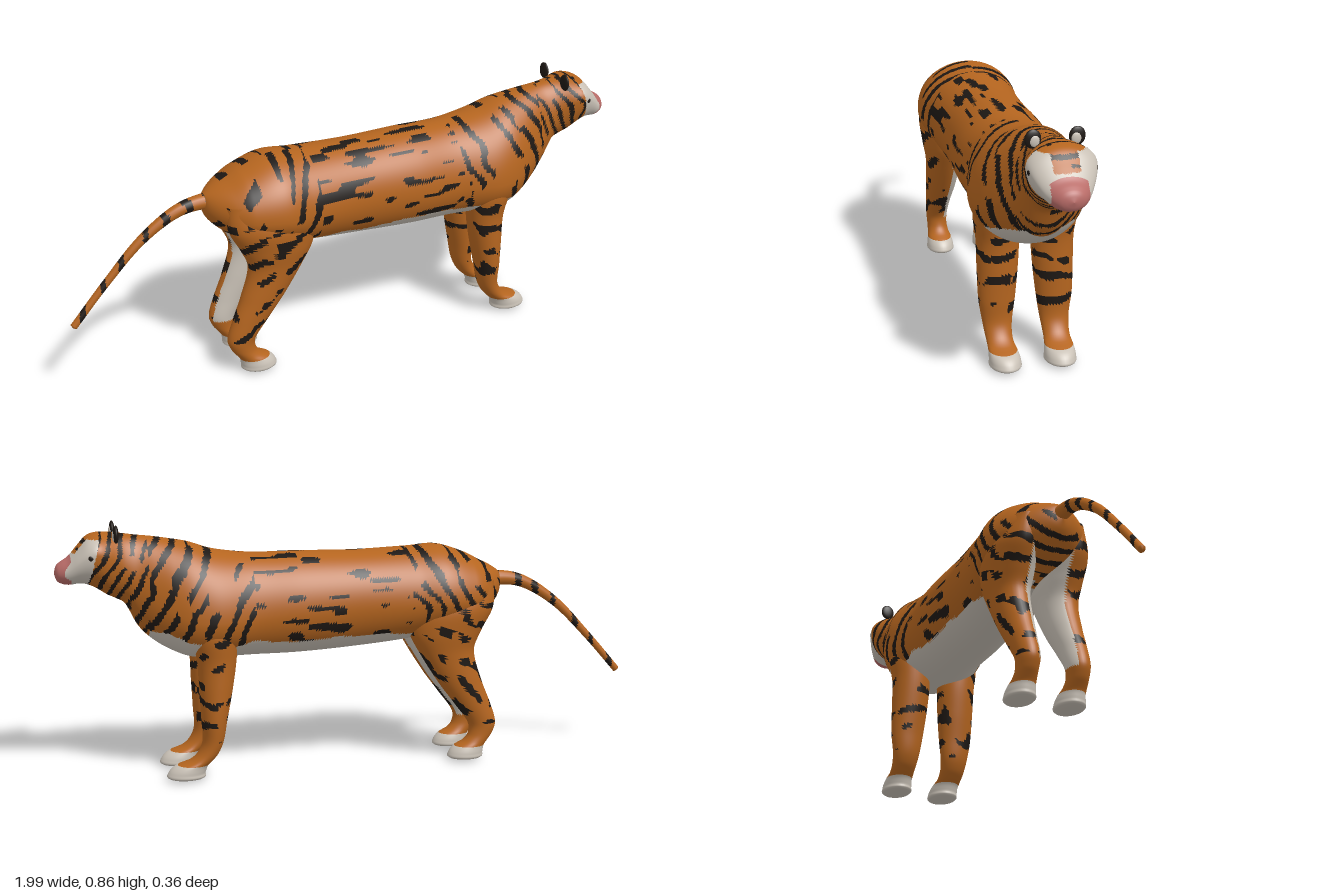
import * as THREE from 'three';

const paint = {};
for (const [name, color] of Object.entries({
  Orange: 0xb5651f, Black: 0x1e1814, White: 0xc9c1b6, Pink: 0xb96c68,
})) paint[name] = new THREE.MeshStandardMaterial({ color });

// Smooth repeatable value noise, 0..1
const hash = (i, j) => {
  const s = Math.sin(i * 127.1 + j * 311.7) * 43758.5453;
  return s - Math.floor(s);
};
function noise(x, y) {
  const i = Math.floor(x), j = Math.floor(y);
  const f = (x - i) ** 2 * (3 - 2 * (x - i)), g = (y - j) ** 2 * (3 - 2 * (y - j));
  const lerp = THREE.MathUtils.lerp;
  return lerp(lerp(hash(i, j), hash(i + 1, j), f), lerp(hash(i, j + 1), hash(i + 1, j + 1), f), g);
}

// Smooth (Hermite) interpolation of section rows; the first column is the key
function section(rows, key) {
  let k = 0;
  while (k < rows.length - 2 && (key - rows[k + 1][0]) * (rows[1][0] - rows[0][0]) > 0) k++;
  const a = rows[k], b = rows[k + 1], p = rows[Math.max(k - 1, 0)], n = rows[Math.min(k + 2, rows.length - 1)];
  const h = b[0] - a[0], t = THREE.MathUtils.clamp((key - a[0]) / h, 0, 1);
  const t2 = t * t, t3 = t2 * t;
  return a.map((v, c) => {
    const m0 = (b[c] - p[c]) / (b[0] - p[0]) * h, m1 = (n[c] - v) / (n[0] - a[0]) * h;
    return (2 * t3 - 3 * t2 + 1) * v + (t3 - 2 * t2 + t) * m0 + (3 * t2 - 2 * t3) * b[c] + (t3 - t2) * m1;
  });
}

// Closed skin of rings; each cell goes to the mesh of its coat colour
function skin(name, rings, sides, pointAt, coat) {
  const pos = [], index = {};
  for (let i = 0; i <= rings; i++) {
    const u = i / rings, e = u - 0.06 * Math.sin(u * Math.PI * 2); // denser ends
    for (let j = 0; j < sides; j++) pos.push(...pointAt(e, j / sides * Math.PI * 2));
  }
  const all = [];
  for (let i = 0; i < rings; i++) for (let j = 0; j < sides; j++) {
    const a = i * sides + j, d = i * sides + (j + 1) % sides, b = a + sides, c = d + sides;
    for (const tri of [[a, b, c], [a, c, d]]) {
      all.push(...tri);
      const mid = [0, 1, 2].map(k => (pos[tri[0] * 3 + k] + pos[tri[1] * 3 + k] + pos[tri[2] * 3 + k]) / 3);
      (index[coat(...mid)] ??= []).push(...tri);
    }
  }
  const base = new THREE.BufferGeometry();
  base.setAttribute('position', new THREE.Float32BufferAttribute(pos, 3));
  base.setIndex(all);
  base.computeVertexNormals();
  const group = new THREE.Group();
  group.name = name;
  for (const color in index) {
    const geo = new THREE.BufferGeometry();
    geo.setAttribute('position', base.attributes.position);
    geo.setAttribute('normal', base.attributes.normal);
    geo.setIndex(index[color]);
    const mesh = new THREE.Mesh(geo, paint[color]);
    mesh.name = name + color;
    group.add(mesh);
  }
  return group;
}

// Torso, neck and head: x, top, bottom, half width, height of widest point
const TORSO = [
  [-0.535, 0.635, 0.60, 0, 0.62], [-0.52, 0.652, 0.565, 0.04, 0.61], [-0.49, 0.672, 0.53, 0.085, 0.60],
  [-0.45, 0.692, 0.50, 0.127, 0.59], [-0.4, 0.718, 0.48, 0.157, 0.58], [-0.3, 0.75, 0.455, 0.178, 0.575],
  [-0.2, 0.746, 0.43, 0.166, 0.57], [0, 0.74, 0.41, 0.155, 0.57], [0.2, 0.744, 0.40, 0.16, 0.56],
  [0.35, 0.745, 0.40, 0.159, 0.55], [0.48, 0.762, 0.40, 0.18, 0.54], [0.56, 0.788, 0.405, 0.17, 0.545],
  [0.62, 0.80, 0.428, 0.145, 0.57], [0.68, 0.81, 0.465, 0.112, 0.61], [0.73, 0.816, 0.515, 0.086, 0.66],
  [0.77, 0.822, 0.59, 0.08, 0.71],
];
const HEAD = [
  [0.80, 0.826, 0.61, 0.087, 0.74], [0.83, 0.829, 0.625, 0.10, 0.755], [0.86, 0.828, 0.645, 0.106, 0.765],
  [0.89, 0.817, 0.66, 0.10, 0.757], [0.92, 0.785, 0.664, 0.086, 0.735], [0.95, 0.752, 0.661, 0.066, 0.71],
  [0.975, 0.736, 0.666, 0.048, 0.70], [0.99, 0.722, 0.678, 0.028, 0.70], [0.996, 0.70, 0.70, 0, 0.70],
];
const BODY = [...TORSO, ...HEAD];
function bodyPoint(u, a) {
  const [x, top, bottom, w, yw] = section(BODY, THREE.MathUtils.lerp(-0.535, 0.996, u));
  const s = Math.sin(a);
  return [x, yw + s * (s > 0 ? top - yw : yw - bottom), Math.cos(a) * Math.max(w, 0)];
}
function bodyCoat(x, y, z) {
  const az = Math.abs(z), side = z > 0 ? 0 : 40;
  // face
  if (x > 0.945 && az < 0.056) return 'Pink';
  if (x > 0.868 + (0.76 - y) * 0.25) {
    if (y > 0.765 && az < 0.04) return Math.abs(y - 0.803) < 0.006 || noise(x * 90, z * 60 + 7) > 0.8 ? 'Black' : 'Orange';
    return y > 0.812 ? 'Orange' : 'White';
  }
  // pale belly and chest
  if (x < 0.7 && y < 0.462 + Math.max(0, x - 0.5) * 0.25 + 0.02 * (noise(x * 14, side) - 0.5)) return 'White';
  // long dashes on the flanks, broken bands on shoulder, neck and rump
  const arc = y - az * 0.7;
  if (x > -0.17 && x < 0.36) return noise(x * 13 + side, arc * 52 + 3) > 0.68 ? 'Black' : 'Orange';
  const tilt = x > 0 ? 0.45 : -0.5;
  const wave = Math.sin((x + tilt * (y - 0.6)) * (x > 0.7 ? 150 : 105) + 5 * noise(x * 9 + side, y * 16));
  return wave > 0.35 && noise(x * 20 + side, y * 15 + 9) > 0.38 ? 'Black' : 'Orange';
}

// Legs: height, back x, front x, inner z, outer z
const FRONT_LEG = [
  [0.60, 0.42, 0.57, 0.05, 0.14], [0.50, 0.415, 0.57, 0.025, 0.168], [0.40, 0.42, 0.55, 0.02, 0.158],
  [0.30, 0.435, 0.545, 0.025, 0.156], [0.20, 0.455, 0.54, 0.035, 0.153], [0.13, 0.468, 0.538, 0.045, 0.143],
  [0.09, 0.485, 0.555, 0.05, 0.138], [0.065, 0.505, 0.585, 0.05, 0.136], [0.05, 0.52, 0.63, 0.045, 0.138],
  [0.025, 0.53, 0.655, 0.04, 0.14], [0.008, 0.535, 0.65, 0.045, 0.135], [0, 0.59, 0.59, 0.09, 0.09],
];
const HIND_LEG = [
  [0.63, -0.48, -0.23, 0.03, 0.14], [0.54, -0.475, -0.18, 0.015, 0.167], [0.46, -0.435, -0.18, 0.015, 0.162],
  [0.39, -0.41, -0.215, 0.025, 0.15], [0.28, -0.44, -0.285, 0.035, 0.14], [0.20, -0.472, -0.345, 0.045, 0.132],
  [0.13, -0.493, -0.395, 0.05, 0.126], [0.09, -0.48, -0.395, 0.053, 0.124], [0.065, -0.462, -0.375, 0.05, 0.126],
  [0.05, -0.452, -0.345, 0.045, 0.13], [0.025, -0.447, -0.325, 0.04, 0.135], [0.008, -0.44, -0.33, 0.045, 0.13],
  [0, -0.385, -0.385, 0.088, 0.088],
];
function leg(name, rows, side, hind) {
  const point = (u, a) => {
    const [y, back, front, inner, outer] = section(rows, rows[0][0] * (1 - u));
    return [
      (back + front) / 2 + (front - back) / 2 * Math.cos(a), y,
      side * (inner + outer) / 2 - (outer - inner) / 2 * Math.sin(a),
    ];
  };
  const coat = (x, y, z) => {
    const az = Math.abs(z);
    if (y < 0.052) return 'White';
    if (hind && y > 0.12 && az < 0.07) return 'White';
    if (y < 0.13) return 'Orange';
    const band = Math.sin(y * 75 + x * (hind ? -45 : 20) + 5 * noise(x * 18 + side * 9, y * 14 + az * 12));
    return band > 0.45 && noise(x * 25 + side * 5, y * 18 + az * 25) > 0.42 ? 'Black' : 'Orange';
  };
  return skin(name, 90, 36, point, coat);
}

// Tapering ringed tail
function tail() {
  const curve = new THREE.CatmullRomCurve3([
    [-0.44, 0.615], [-0.54, 0.622], [-0.62, 0.605], [-0.74, 0.53], [-0.87, 0.40], [-0.99, 0.265],
  ].map(([x, y]) => new THREE.Vector3(x, y, 0)));
  const point = (u, a) => {
    const p = curve.getPointAt(u), t = curve.getTangentAt(u);
    const r = u <= 0 || u >= 1 ? 0 : 0.012 + 0.02 * (1 - u) ** 2.5;
    return [p.x + t.y * r * Math.cos(a), p.y - t.x * r * Math.cos(a), r * Math.sin(a)];
  };
  const coat = (x, y, z) => Math.sin(x * 85 + 3 * noise(x * 20, z * 30)) > 0.6 ? 'Black' : 'Orange';
  return skin('tail', 90, 16, point, coat);
}

function blob(name, color, position, scale) {
  const mesh = new THREE.Mesh(new THREE.SphereGeometry(1, 20, 14), paint[color]);
  mesh.name = name;
  mesh.position.set(...position);
  mesh.scale.set(...scale);
  return mesh;
}

export function createModel() {
  const model = new THREE.Group();
  model.name = 'tiger';
  model.add(skin('body', 240, 96, bodyPoint, bodyCoat), tail());
  for (const [label, s] of [['left', -1], ['right', 1]]) {
    model.add(
      leg(label + 'FrontLeg', FRONT_LEG, s, false),
      leg(label + 'HindLeg', HIND_LEG, s, true),
      blob(label + 'Ear', 'Black', [0.8, 0.827, s * 0.066], [0.009, 0.029, 0.025]),
      blob(label + 'InnerEar', 'White', [0.806, 0.822, s * 0.062], [0.006, 0.018, 0.015]),
      blob(label + 'Eye', 'Black', [0.88, 0.757, s * 0.096], [0.013, 0.012, 0.008]),
    );
  }
  return model;
}
